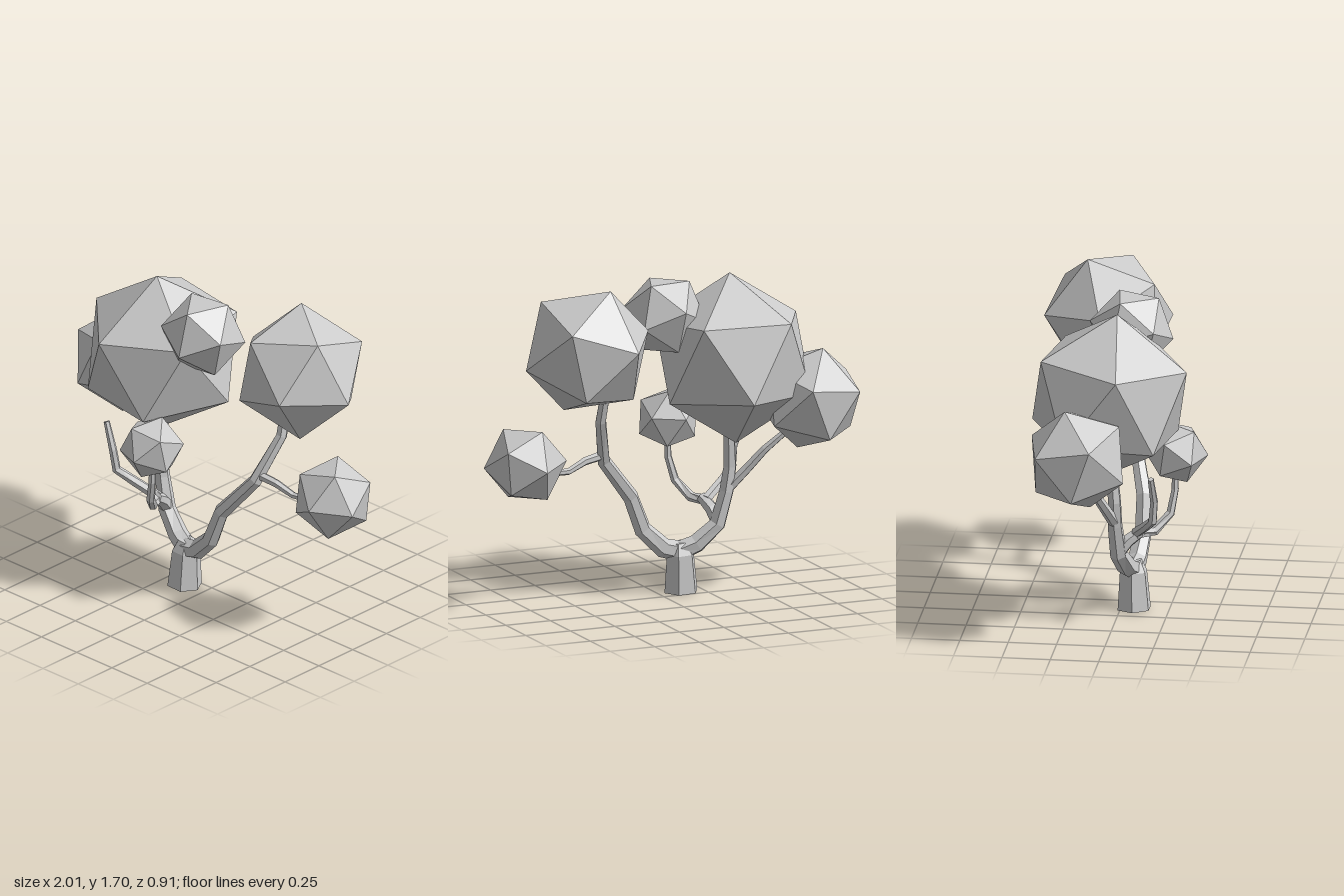
import * as THREE from 'three';

const material = new THREE.MeshStandardMaterial({ color: 0xcccccc, flatShading: true });
const vec = (a) => new THREE.Vector3(...a);

// Orthonormal basis whose first axis is u and whose second axis leans towards v
function basis(u, v) {
  const x = u.clone().normalize();
  const z = new THREE.Vector3().crossVectors(x, v).normalize();
  const y = new THREE.Vector3().crossVectors(z, x);
  return new THREE.Matrix4().makeBasis(x, y, z);
}

// Faceted leaf clump: u and v are the directions of two neighbouring corners
const PHI = (1 + Math.sqrt(5)) / 2;
const restInverse = basis(vec([0, 1, PHI]), vec([0, -1, PHI])).transpose();
function clump(name, centre, radius, u, v) {
  const geometry = new THREE.IcosahedronGeometry(radius, 0);
  geometry.applyMatrix4(basis(vec(u), vec(v)).multiply(restInverse));
  const mesh = new THREE.Mesh(geometry, material);
  mesh.name = name;
  mesh.position.set(...centre);
  return mesh;
}

// Tapering six-sided limb through nodes [x, y, z, radius], capped at both ends
function limb(name, nodes, sides = 6) {
  const points = nodes.map((n) => new THREE.Vector3(n[0], n[1], n[2]));
  const positions = [];
  const index = [];
  const last = points.length - 1;
  points.forEach((p, i) => {
    const tangent = points[Math.min(i + 1, last)].clone().sub(points[Math.max(i - 1, 0)]).normalize();
    const side = new THREE.Vector3().crossVectors(tangent, new THREE.Vector3(0, 0, 1)).normalize();
    const front = new THREE.Vector3().crossVectors(tangent, side);
    for (let k = 0; k < sides; k++) {
      const a = (k / sides) * Math.PI * 2;
      const q = p.clone()
        .addScaledVector(side, Math.cos(a) * nodes[i][3])
        .addScaledVector(front, Math.sin(a) * nodes[i][3]);
      positions.push(q.x, q.y, q.z);
      if (i < last) {
        const b = i * sides + k;
        const c = i * sides + ((k + 1) % sides);
        index.push(b, c, c + sides, b, c + sides, b + sides);
      }
    }
  });
  const end = last * sides;
  for (let k = 1; k < sides - 1; k++) {
    index.push(0, k + 1, k, end, end + k, end + k + 1);
  }
  const geometry = new THREE.BufferGeometry();
  geometry.setAttribute('position', new THREE.Float32BufferAttribute(positions, 3));
  geometry.setIndex(index);
  geometry.computeVertexNormals();
  const mesh = new THREE.Mesh(geometry, material);
  mesh.name = name;
  return mesh;
}

export function createModel() {
  const tree = new THREE.Group();
  tree.name = 'tree';

  // Trunk and the two main boughs
  const branches = new THREE.Group();
  branches.name = 'branches';
  branches.add(
    limb('trunk', [[-0.126, 0, 0.07, 0.092], [-0.12, 0.2, 0.065, 0.075], [-0.115, 0.26, 0.065, 0.045]]),
    limb('leftBough', [
      [-0.13, 0.21, 0.065, 0.055], [-0.03, 0.235, 0.075, 0.052], [0.08, 0.34, 0.09, 0.046],
      [0.15, 0.52, 0.085, 0.042], [0.33, 0.74, 0.02, 0.036], [0.4, 0.98, -0.1, 0.03], [0.39, 1.2, -0.16, 0.026],
    ]),
    limb('rightBough', [
      [-0.11, 0.21, 0.065, 0.055], [-0.2, 0.25, 0.04, 0.052], [-0.305, 0.35, 0.012, 0.046],
      [-0.35, 0.52, 0, 0.04], [-0.37, 0.65, 0, 0.036], [-0.355, 0.9, -0.02, 0.028],
    ]),
    // Twigs
    limb('leftTwig', [
      [0.33, 0.775, 0.01, 0.025], [0.45, 0.755, -0.01, 0.022], [0.55, 0.715, -0.03, 0.018], [0.7, 0.72, -0.05, 0.016],
    ]),
    limb('forkStub', [[-0.31, 0.36, 0.01, 0.04], [-0.295, 0.42, 0.06, 0.036], [-0.27, 0.47, 0.13, 0.03]]),
    limb('frontTwig', [
      [-0.29, 0.455, 0.1, 0.028], [-0.235, 0.46, 0.19, 0.026], [-0.18, 0.54, 0.265, 0.023],
      [-0.15, 0.66, 0.285, 0.02], [-0.145, 0.8, 0.285, 0.017],
    ]),
    limb('bareTwig', [
      [-0.28, 0.46, 0.1, 0.028], [-0.39, 0.53, 0.16, 0.026], [-0.475, 0.59, 0.21, 0.024],
      [-0.49, 0.7, 0.22, 0.021], [-0.545, 0.84, 0.21, 0.016],
    ]),
    limb('rearTwig', [
      [-0.355, 0.53, 0, 0.03], [-0.45, 0.64, -0.04, 0.027], [-0.53, 0.74, -0.08, 0.023], [-0.64, 0.84, -0.12, 0.018],
    ]),
  );

  // Foliage
  const foliage = new THREE.Group();
  foliage.name = 'foliage';
  foliage.add(
    clump('largeRightClump', [-0.375, 1.225, -0.025], 0.442, [0, 0.44, 0.04], [-0.06, 0.17, 0.405]),
    clump('largeLeftClump', [0.495, 1.37, -0.142], 0.35, [-0.087, 0.32, -0.096], [-0.15, 0.03, -0.316]),
    clump('topClump', [-0.02, 1.468, 0.043], 0.22, [0.03, -0.05, 0.212], [0.02, 0.165, 0.14]),
    clump('smallLeftClump', [0.805, 0.783, -0.058], 0.214, [0.03, 0.005, 0.208], [0.09, 0.188, 0.055]),
    clump('smallFrontClump', [-0.15, 0.862, 0.288], 0.168, [0.03, -0.02, 0.163], [-0.02, -0.16, 0.047]),
    clump('rearRightClump', [-0.757, 1.002, -0.142], 0.28, [-0.045, 0.27, -0.06], [-0.24, 0.12, 0.086]),
  );

  tree.add(branches, foliage);
  return tree;
}
